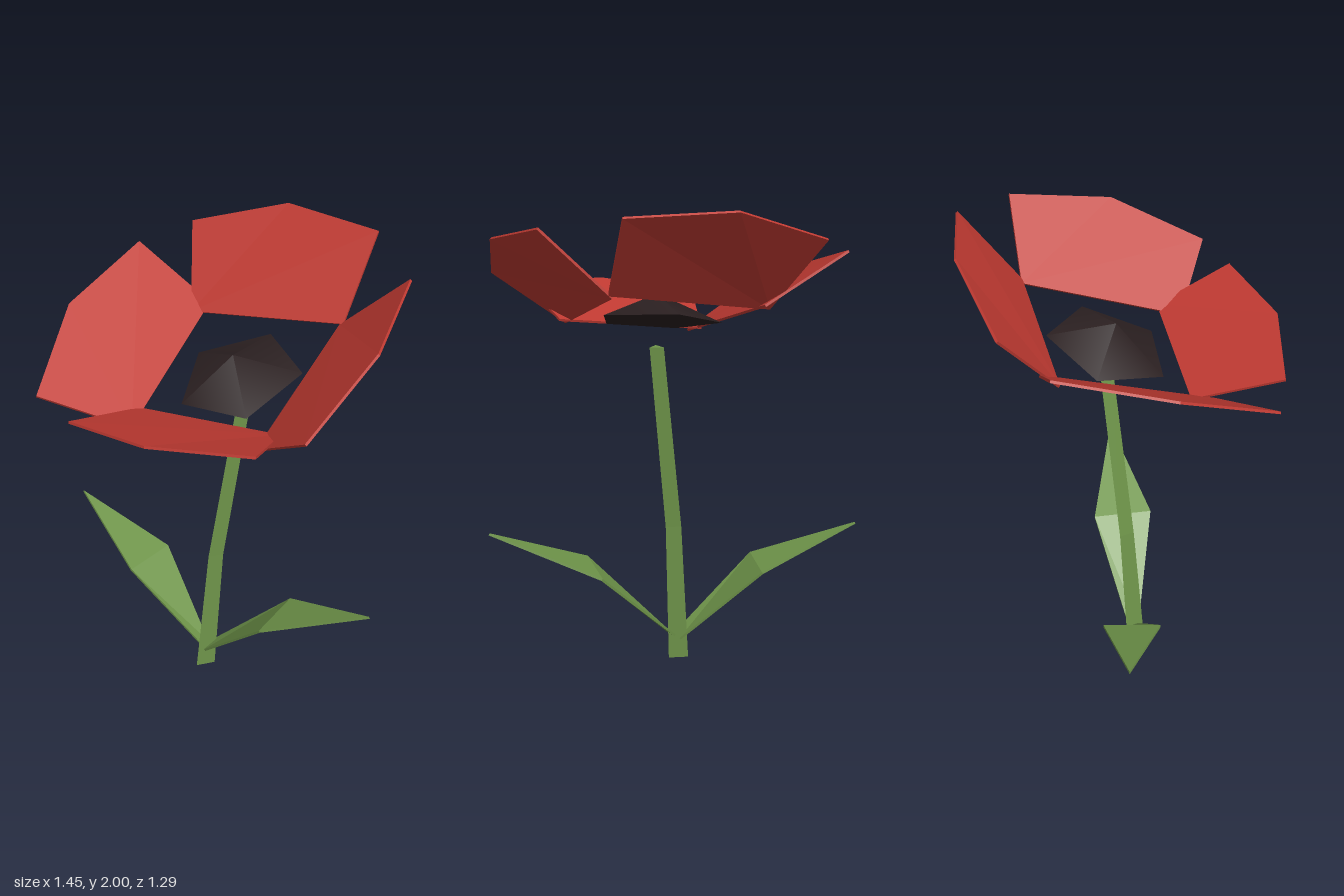
import * as THREE from 'three';

// Thin closed plate over an outline of 3D points (fanned from the first point)
function plate(points, thickness) {
  const pts = points.map((p) => new THREE.Vector3(...p));
  const n = pts.length;
  const normal = new THREE.Vector3();
  pts.forEach((p, i) => normal.add(p.clone().cross(pts[(i + 1) % n])));
  normal.setLength(thickness / 2);
  const top = pts.map((p) => p.clone().add(normal));
  const low = pts.map((p) => p.clone().sub(normal));
  const tris = [];
  for (let i = 1; i < n - 1; i++) {
    tris.push(top[0], top[i], top[i + 1], low[0], low[i + 1], low[i]);
  }
  for (let i = 0; i < n; i++) {
    const j = (i + 1) % n;
    tris.push(top[i], low[i], low[j], top[i], low[j], top[j]);
  }
  const geometry = new THREE.BufferGeometry().setFromPoints(tris);
  geometry.computeVertexNormals();
  return geometry;
}

// Three-sided stem, bent and tapered ring by ring
function stemGeometry() {
  const rings = [
    { x: 0.112, y: 1.41, z: -0.057, r: 0.033 },
    { x: 0.003, y: 0.62, z: -0.022, r: 0.038 },
    { x: -0.04, y: 0, z: 0, r: 0.049 },
  ];
  const geometry = new THREE.CylinderGeometry(1, 1, 2, 3, 2, false, Math.PI / 2).toNonIndexed();
  const pos = geometry.attributes.position;
  for (let i = 0; i < pos.count; i++) {
    const ring = rings[Math.round(1 - pos.getY(i))];
    pos.setXYZ(i, ring.x + pos.getX(i) * ring.r, ring.y, ring.z + pos.getZ(i) * ring.r);
  }
  geometry.computeVertexNormals();
  return geometry;
}

export function createModel() {
  const group = new THREE.Group();
  const petalRed = new THREE.MeshStandardMaterial({ color: 0xc03a32 });
  const leafGreen = new THREE.MeshStandardMaterial({ color: 0x6f954a });
  const centreBlack = new THREE.MeshStandardMaterial({ color: 0x2b2021 });
  petalRed.name = 'petalRed';
  leafGreen.name = 'leafGreen';
  centreBlack.name = 'centreBlack';

  const add = (name, geometry, material) => {
    const mesh = new THREE.Mesh(geometry, material);
    mesh.name = name;
    group.add(mesh);
    return mesh;
  };

  add('stem', stemGeometry(), leafGreen);

  // Leaves: a tip triangle folded against a tapering base
  const leaves = {
    leftLeaf: [[0.35, 0.45, 0], [0.72, 0.652, 0.268], [0.265, 0.455, 0.245], [-0.03, 0.09, 0.03], [-0.03, 0.09, -0.02]],
    rightLeaf: [[-0.395, 0.415, -0.06], [-0.72, 0.578, -0.374], [-0.285, 0.415, -0.272], [-0.03, 0.09, -0.03], [-0.03, 0.09, 0.02]],
  };
  for (const [name, outline] of Object.entries(leaves)) add(name, plate(outline, 0.01), leafGreen);

  // Petals: two inner corners, then three outer ones
  const petals = {
    backPetal: [[-0.19, 1.58, -0.39], [0.466, 1.68, -0.25], [0.55, 1.987, -0.47], [0.16, 1.997, -0.627], [-0.25, 1.87, -0.643]],
    leftPetal: [[0.452, 1.67, -0.257], [0.262, 1.457, 0.376], [0.48, 1.66, 0.6], [0.667, 1.85, 0.255], [0.717, 1.935, -0.183]],
    frontPetal: [[0.338, 1.487, 0.303], [-0.262, 1.41, 0.132], [-0.44, 1.508, 0.44], [-0.09, 1.573, 0.623], [0.316, 1.607, 0.64]],
    rightPetal: [[-0.265, 1.383, 0.235], [-0.125, 1.605, -0.44], [-0.457, 1.797, -0.54], [-0.63, 1.688, -0.13], [-0.622, 1.51, 0.3]],
  };
  for (const [name, outline] of Object.entries(petals)) add(name, plate(outline, 0.01), petalRed);

  // Flower centre: low five-sided cone, tilted with the bloom
  const height = 0.11;
  const cone = new THREE.ConeGeometry(0.256, height, 5, 1, false, Math.PI / 2);
  cone.translate(0, height / 2, 0);
  const centre = add('flowerCentre', cone, centreBlack);
  const tilt = new THREE.Vector3(-0.21, 1, 0.24).normalize();
  centre.quaternion.setFromUnitVectors(new THREE.Vector3(0, 1, 0), tilt);
  centre.position.set(0.098, 1.51, -0.045);

  return group;
}
